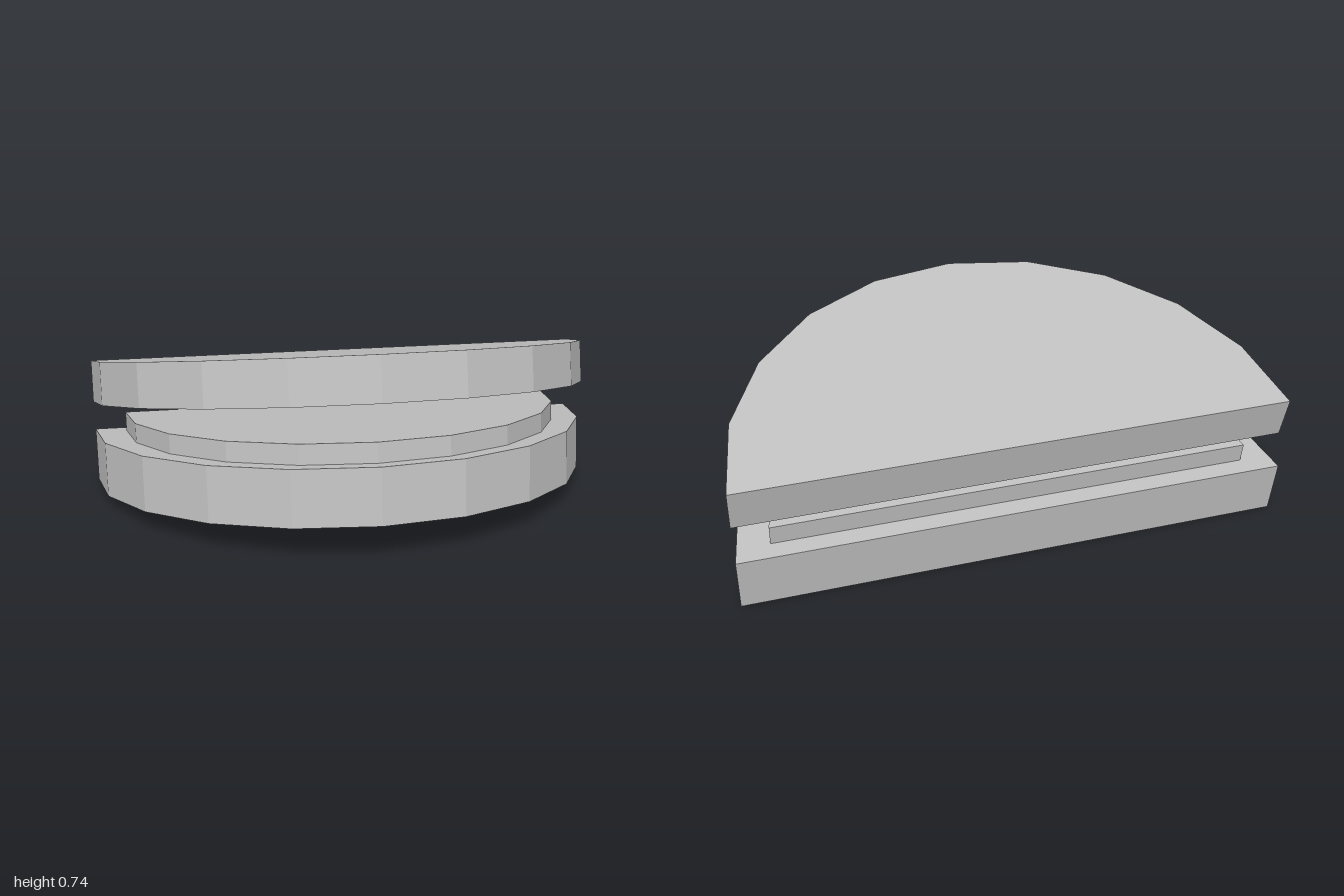
import * as THREE from 'three';
import { mergeGeometries } from 'three/addons/utils/BufferGeometryUtils.js';

const SIDES = 10; // facets around each half disc

// Half disc standing on y = 0, straight edge on z = 0, bulging towards +z
function halfDiscGeometry(radius, height) {
  const curved = new THREE.CylinderGeometry(radius, radius, height, SIDES, 1, false, -Math.PI / 2, Math.PI);
  const back = new THREE.PlaneGeometry(2 * radius, height).rotateY(Math.PI);
  return mergeGeometries([curved, back]).translate(0, height / 2, 0);
}

export function createModel() {
  const group = new THREE.Group();
  group.name = 'tiltedHalfDiscs';

  const grey = new THREE.MeshStandardMaterial({ color: 0xc0c0c0, flatShading: true });
  grey.name = 'light grey';

  // y and z place the lower back edge; tilt raises the rounded front
  const parts = [
    { name: 'lowerSlab', radius: 1, height: 0.21, y: 0, z: -0.475, tilt: 8 },
    { name: 'innerStep', radius: 0.875, height: 0.075, y: 0.217, z: -0.44, tilt: 8 },
    { name: 'upperSlab', radius: 1, height: 0.166, y: 0.335, z: -0.474, tilt: 14 },
  ];

  for (const { name, radius, height, y, z, tilt } of parts) {
    const mesh = new THREE.Mesh(halfDiscGeometry(radius, height), grey);
    mesh.name = name;
    mesh.position.set(0, y, z);
    mesh.rotation.x = -THREE.MathUtils.degToRad(tilt);
    group.add(mesh);
  }
  return group;
}
